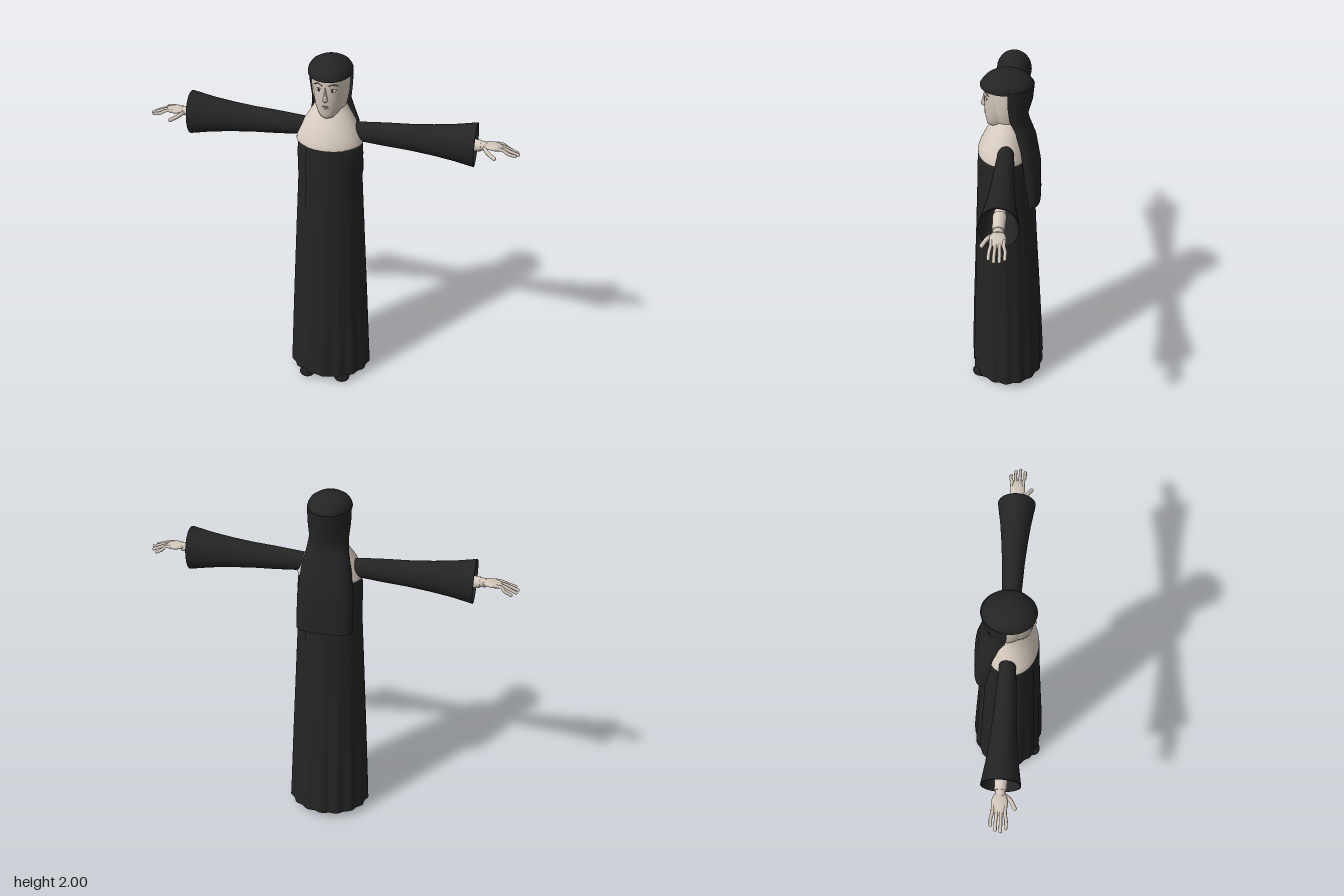
import * as THREE from 'three';

const mat = (name, color, side = THREE.FrontSide) => {
  const m = new THREE.MeshStandardMaterial({ color, side });
  m.name = name;
  return m;
};

// Smooth skin over rings [y, halfWidth, centreZ, halfDepth, squareness]; angle 0 is the front.
function loft(rings, { n = 64, a0 = 0, a1 = Math.PI * 2, pleat = () => 1, cap = true } = {}) {
  const closed = a1 - a0 > 6.28;
  const cols = closed ? n : n + 1;
  const pos = [], idx = [];
  const pow = (v, e) => Math.sign(v) * Math.pow(Math.abs(v), e);
  const addRing = ([y, rx, c, rz, e = 1]) => {
    for (let i = 0; i < cols; i++) {
      const a = a0 + (a1 - a0) * i / n, k = pleat(a, y);
      pos.push(rx * k * pow(Math.sin(a), e), y, c + rz * k * pow(Math.cos(a), e));
    }
  };
  rings.forEach(addRing);
  for (let j = 0; j < rings.length - 1; j++) {
    for (let i = 0; i < n; i++) {
      const la = j * cols + i, lb = j * cols + (i + 1) % cols;
      idx.push(la, lb, lb + cols, la, lb + cols, la + cols);
    }
  }
  if (cap) {
    [rings[0], rings[rings.length - 1]].forEach((r, top) => {
      const s = pos.length / 3;
      addRing(r);
      pos.push(0, r[0], r[2]);
      for (let i = 0; i < n; i++) {
        const p = s + i, q = s + (i + 1) % cols;
        if (top) idx.push(p, q, s + cols); else idx.push(q, p, s + cols);
      }
    });
  }
  const g = new THREE.BufferGeometry();
  g.setAttribute('position', new THREE.Float32BufferAttribute(pos, 3));
  g.setIndex(idx);
  g.computeVertexNormals();
  return g;
}

export function createModel() {
  const model = new THREE.Group();
  model.name = 'robedFigure';
  const black = mat('blackCloth', 0x242424, THREE.DoubleSide);
  const shoe = mat('shoeLeather', 0x1c1c1c);
  const linen = mat('creamLinen', 0xd8cdc0, THREE.DoubleSide);
  const skin = mat('skin', 0xd2c6ba);
  const white = mat('eyeWhite', 0xe6e2dc);
  const dark = mat('iris', 0x3a342f);
  const line = mat('browAndLip', 0x8f8176);

  const add = (name, geo, material, parent = model) => {
    const m = new THREE.Mesh(geo, material);
    m.name = name;
    parent.add(m);
    return m;
  };
  const ball = (name, material, p, s, parent) => {
    const m = add(name, new THREE.SphereGeometry(1, 20, 14), material, parent);
    m.position.set(...p);
    m.scale.set(...s);
    return m;
  };
  const tube = (name, material, pts, r, parent) => {
    const curve = new THREE.CatmullRomCurve3(pts.map(p => new THREE.Vector3(...p)));
    return add(name, new THREE.TubeGeometry(curve, 12, r, 8), material, parent);
  };

  // Pleated robe
  const robe = [
    [0.04, 0.235, 0.002, 0.207], [0.12, 0.231, 0.003, 0.203], [0.5, 0.214, 0.007, 0.187],
    [1.0, 0.19, 0.012, 0.162], [1.3, 0.174, 0.014, 0.149], [1.45, 0.176, 0.015, 0.144],
    [1.53, 0.17, 0.016, 0.137], [1.62, 0.12, 0.005, 0.1], [1.7, 0.06, 0, 0.05],
  ];
  const pleat = (a, y) => 1 - 0.045 * Math.max(0, 1 - y / 1.4) * (0.5 - 0.5 * Math.cos(16 * a));
  add('robe', loft(robe, { n: 128, pleat }), black);

  // Front and back over-panels follow the robe
  const panel = robe.slice(1, 7).map(([y, rx, c, rz]) => [y, rx + 0.005, c, rz + 0.005]);
  add('frontPanel', loft(panel, { n: 40, a0: -0.62, a1: 0.62, pleat, cap: false }), black);
  add('backPanel', loft(panel, { n: 40, a0: Math.PI - 0.62, a1: Math.PI + 0.62, pleat, cap: false }), black);

  // Shoulder collar
  add('collar', loft([
    [1.53, 0.178, 0.022, 0.139], [1.545, 0.177, 0.022, 0.138], [1.58, 0.165, 0.02, 0.128],
    [1.64, 0.136, 0.012, 0.108], [1.7, 0.1, 0, 0.082], [1.74, 0.076, -0.008, 0.062],
    [1.78, 0.066, -0.01, 0.055],
  ]), linen);

  // Head: face, linen frame, veil and cap
  const head = new THREE.Group();
  head.name = 'head';
  model.add(head);
  add('face', loft([
    [1.69, 0.022, 0.065, 0.035], [1.697, 0.04, 0.058, 0.053], [1.715, 0.056, 0.047, 0.068],
    [1.75, 0.07, 0.037, 0.084], [1.8, 0.08, 0.031, 0.093], [1.86, 0.084, 0.03, 0.095],
    [1.93, 0.08, 0.03, 0.09],
  ]), skin, head);
  add('coif', loft([
    [1.7, 0.062, 0, 0.06], [1.74, 0.084, 0, 0.082], [1.8, 0.096, 0, 0.096],
    [1.86, 0.1, 0, 0.104], [1.93, 0.1, 0, 0.108],
  ]), linen, head);
  add('veil', loft([
    [1.26, 0.15, -0.115, 0.06, 0.65], [1.28, 0.152, -0.112, 0.063, 0.65],
    [1.45, 0.15, -0.09, 0.08, 0.7], [1.6, 0.134, -0.07, 0.076, 0.8],
    [1.7, 0.112, -0.04, 0.073, 0.9], [1.76, 0.104, -0.01, 0.09],
    [1.85, 0.113, 0, 0.125], [1.93, 0.114, 0, 0.132],
  ], { n: 48, a0: Math.PI / 2, a1: Math.PI * 1.5 }), black, head);
  add('cap', loft([
    [1.915, 0.113, 0.008, 0.136], [1.925, 0.115, 0.008, 0.137], [1.945, 0.111, 0.006, 0.127],
    [1.965, 0.098, 0.006, 0.108], [1.982, 0.074, 0.008, 0.08], [1.994, 0.042, 0.01, 0.046],
    [2.0, 0.005, 0.012, 0.005],
  ]), black, head);

  // Facial features
  add('nose', loft([
    [1.795, 0.011, 0.108, 0.022], [1.803, 0.016, 0.105, 0.036], [1.814, 0.014, 0.105, 0.038],
    [1.84, 0.009, 0.105, 0.028], [1.875, 0.008, 0.105, 0.02],
  ], { n: 20 }), skin, head);
  tube('mouth', line, [[-0.024, 1.766, 0.115], [0, 1.769, 0.122], [0.024, 1.766, 0.115]], 0.003, head);
  ball('lowerLip', skin, [0, 1.757, 0.116], [0.018, 0.006, 0.009], head);
  for (const s of [-1, 1]) {
    ball('eye', white, [s * 0.036, 1.857, 0.114], [0.018, 0.01, 0.005], head).rotation.y = s * 0.25;
    ball('iris', dark, [s * 0.035, 1.857, 0.118], [0.007, 0.008, 0.003], head).rotation.y = s * 0.25;
    tube('upperLid', line, [[s * 0.018, 1.858, 0.119], [s * 0.035, 1.868, 0.117], [s * 0.055, 1.858, 0.104]], 0.002, head);
    tube('eyebrow', line, [[s * 0.015, 1.883, 0.12], [s * 0.038, 1.892, 0.115], [s * 0.062, 1.882, 0.098]], 0.003, head);
  }

  // Flared sleeve profile [radius, distance from body], out along the outside and back inside
  const sleeve = [
    [0.05, 0.13], [0.056, 0.2], [0.064, 0.3], [0.071, 0.42], [0.083, 0.54], [0.098, 0.65],
    [0.12, 0.764], [0.12, 0.766], [0.113, 0.766], [0.09, 0.65], [0.06, 0.52], [0.02, 0.5],
  ].map(p => new THREE.Vector2(...p));

  for (const s of [-1, 1]) {
    const arm = new THREE.Group();
    arm.name = s > 0 ? 'leftArm' : 'rightArm';
    model.add(arm);
    const sl = add('sleeve', new THREE.LatheGeometry(sleeve, 40), black, arm);
    sl.rotation.z = -s * Math.PI / 2;
    sl.scale.z = 0.83;
    sl.position.set(0, 1.585, 0.007);

    // Forearm and cuff inside the sleeve
    const forearm = add('forearm', new THREE.CylinderGeometry(0.024, 0.032, 0.32, 24), skin, arm);
    forearm.rotation.z = -s * Math.PI / 2;
    forearm.position.set(s * 0.66, 1.585, 0.007);
    const cuff = add('cuff', new THREE.CylinderGeometry(0.03, 0.034, 0.12, 24), linen, arm);
    cuff.rotation.z = -s * Math.PI / 2;
    cuff.position.set(s * 0.73, 1.583, 0.007);

    // Hand with drooping fingers and a forward thumb
    ball('palm', skin, [s * 0.855, 1.588, 0.006], [0.058, 0.016, 0.041], arm).rotation.z = -s * 0.08;
    [[-0.026, 0.955], [-0.006, 0.978], [0.015, 0.985], [0.036, 0.97]].forEach(([z, tip], i) => {
      const zt = 0.006 + (z - 0.006) * 1.2, yt = 1.552 + i * 0.004;
      tube('finger', skin, [[s * 0.865, 1.592, z], [s * 0.905, 1.587, z], [s * (tip - 0.035), 1.572, zt], [s * tip, yt, zt]], 0.0085, arm);
      ball('fingertip', skin, [s * tip, yt, zt], [0.0087, 0.0085, 0.0085], arm);
    });
    tube('thumb', skin, [[s * 0.81, 1.583, 0.025], [s * 0.83, 1.573, 0.055], [s * 0.868, 1.558, 0.08]], 0.0105, arm);
    ball('thumbTip', skin, [s * 0.868, 1.558, 0.08], [0.0105, 0.0105, 0.0105], arm);

    // Shoes
    const sh = add('shoe', new THREE.CapsuleGeometry(0.045, 0.165, 10, 24), shoe);
    sh.rotation.x = Math.PI / 2;
    sh.scale.z = 0.6;
    sh.position.set(s * 0.103, 0.027, 0.078);
  }
  return model;
}
